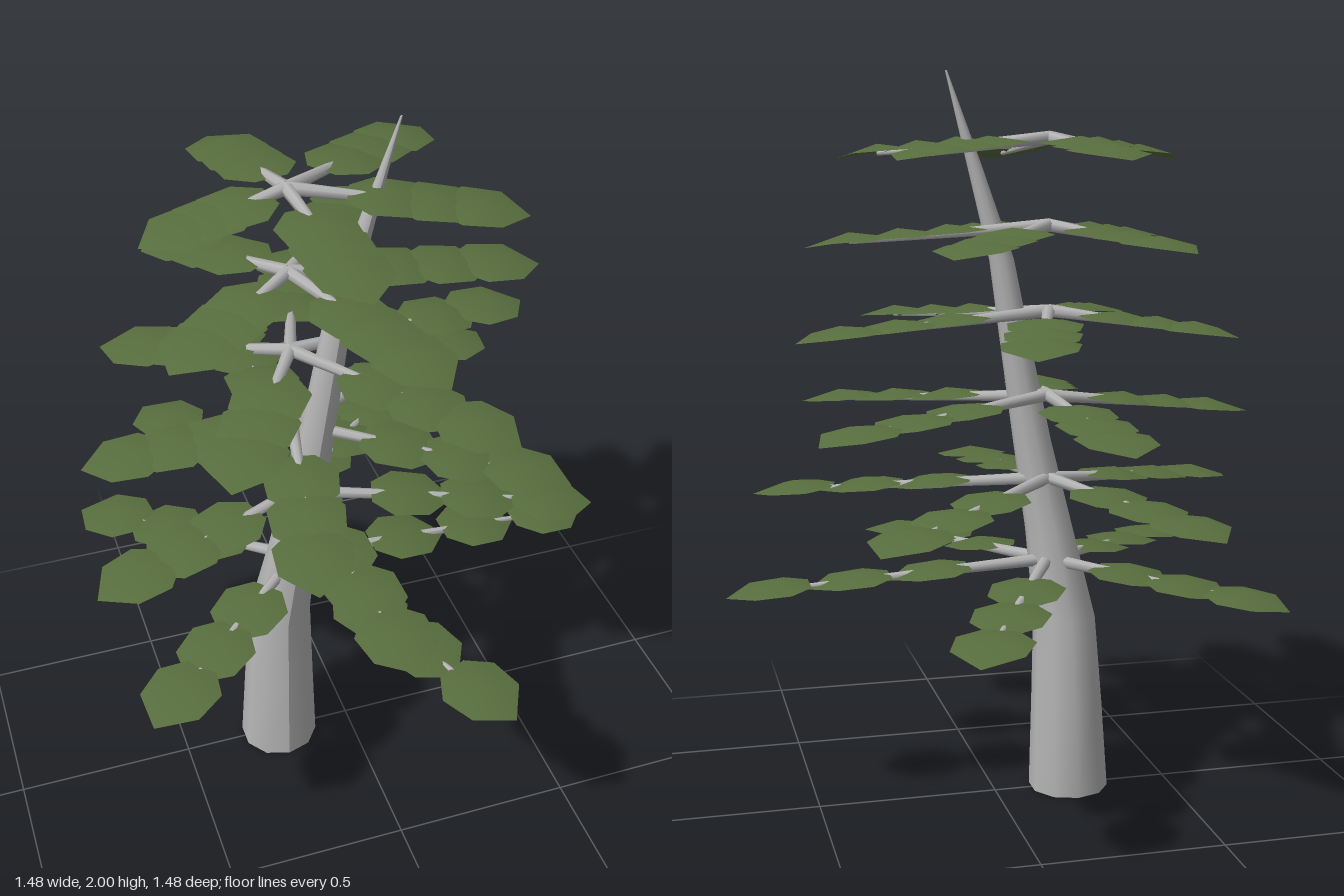
import * as THREE from 'three';

const bark = new THREE.MeshStandardMaterial({ color: 0xb4b4b4 });
bark.name = 'grey bark';
const green = new THREE.MeshStandardMaterial({ color: 0x586e3e, side: THREE.DoubleSide });
green.name = 'olive leaf';

// Leaning trunk: rows of [y, x, z, radius] from base to tip
function makeTrunk() {
  const rows = [
    [0, -0.215, 0, 0.112], [0.25, -0.209, 0.002, 0.1], [0.5, -0.202, 0.008, 0.087],
    [0.75, -0.162, 0.028, 0.067], [1, -0.115, 0.04, 0.053], [1.25, -0.072, 0.045, 0.043],
    [1.5, -0.03, 0.048, 0.034], [1.75, 0.043, 0.055, 0.02], [2, 0.118, 0.064, 0.003],
  ];
  const n = rows.length - 1;
  const geo = new THREE.CylinderGeometry(1, 1, n, 10, n);
  const p = geo.attributes.position;
  for (let i = 0; i < p.count; i++) {
    const [y, x, z, r] = rows[Math.round(p.getY(i) + n / 2)];
    p.setXYZ(i, x + p.getX(i) * r, y, z + p.getZ(i) * r);
  }
  geo.computeVertexNormals();
  const trunk = new THREE.Mesh(geo, bark);
  trunk.name = 'trunk';
  return trunk;
}

// Shallow cupped leaf pointing along +x, with a raised middle and a drooping tip
function makeLeafGeometry() {
  const rim = [[0.122, 0], [0.05, 0.092], [-0.045, 0.1], [-0.105, 0.045],
    [-0.105, -0.045], [-0.045, -0.1], [0.05, -0.092]];
  const pos = [0, 0.014, 0];
  const index = [];
  rim.forEach(([x, z], i) => {
    pos.push(x, x > 0.1 ? -0.018 : -0.008, z);
    index.push(0, 1 + (i + 1) % rim.length, 1 + i);
  });
  // corners run so that the upper side is the front
  const geo = new THREE.BufferGeometry();
  geo.setAttribute('position', new THREE.Float32BufferAttribute(pos, 3));
  geo.setIndex(index);
  geo.computeVertexNormals();
  return geo;
}

// Tapered limb between two points
function makeLimb(a, b) {
  const dir = b.clone().sub(a);
  const limb = new THREE.Mesh(new THREE.CylinderGeometry(0.006, 0.018, dir.length(), 7), bark);
  limb.position.copy(a).add(b).multiplyScalar(0.5);
  limb.quaternion.setFromUnitVectors(new THREE.Vector3(0, 1, 0), dir.normalize());
  limb.name = 'limb';
  return limb;
}

export function createModel() {
  const tree = new THREE.Group();
  tree.name = 'coniferTree';
  tree.add(makeTrunk());
  const leafGeo = makeLeafGeometry();

  // Six tiers of five branches, each tier shorter and turned 20 degrees further
  for (let t = 0; t < 6; t++) {
    const tier = new THREE.Group();
    tier.name = `branchTier${t + 1}`;
    const y = 0.67 + t * 0.231;
    const reach = 0.666 - t * 0.058;
    const hub = new THREE.Vector3(-0.15, y, 0);
    const first = 0.43 + t * 0.022;
    for (let k = 0; k < 5; k++) {
      const a = THREE.MathUtils.degToRad(t * 20 + k * 72);
      const end = new THREE.Vector3(-0.046 + reach * Math.cos(a), y - 0.042, reach * Math.sin(a));
      const branch = new THREE.Group();
      branch.name = 'branch';
      branch.add(makeLimb(hub, end));
      const heading = Math.atan2(end.z - hub.z, end.x - hub.x);

      // Three overlapping leaves along the outer part of the branch
      for (let j = 0; j < 3; j++) {
        const leaf = new THREE.Mesh(leafGeo, green);
        leaf.name = 'leaf';
        leaf.position.lerpVectors(hub, end, first + (1 - first) * j / 2);
        leaf.position.y += 0.012;
        leaf.rotation.set(0, -heading, -0.08, 'YXZ');
        branch.add(leaf);
      }
      tier.add(branch);
    }
    tree.add(tier);
  }
  return tree;
}
